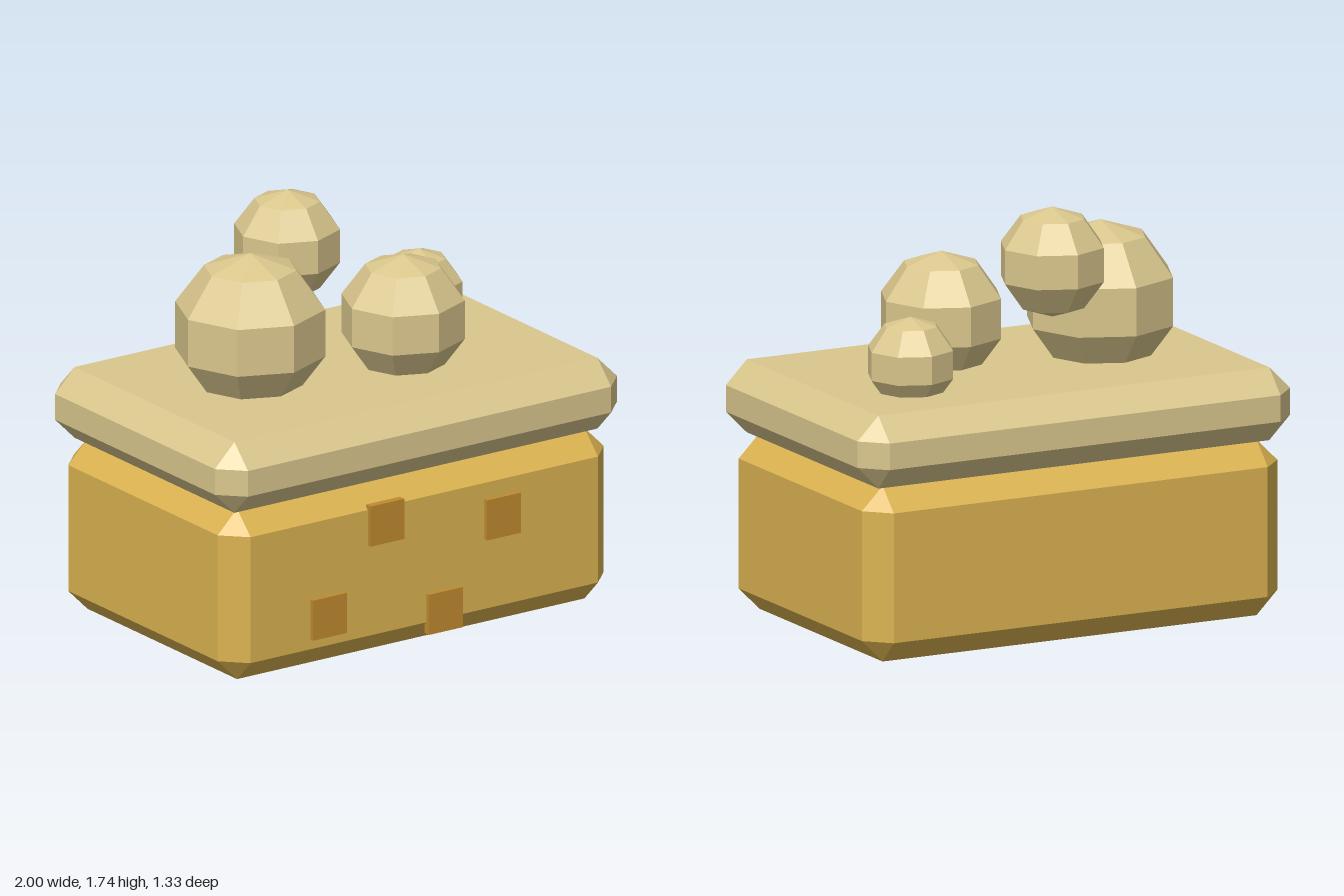
import * as THREE from 'three';
import { ConvexGeometry } from 'three/addons/geometries/ConvexGeometry.js';

function material(name, color) {
  const m = new THREE.MeshStandardMaterial({ color });
  m.name = name;
  return m;
}

// Box with every edge cut at 45 degrees and every corner cut to a triangle.
function chamferedBox(w, h, d, c) {
  const points = [];
  for (const sx of [-1, 1]) for (const sy of [-1, 1]) for (const sz of [-1, 1]) {
    for (let axis = 0; axis < 3; axis++) {
      const inset = [c, c, c];
      inset[axis] = 0;
      points.push(new THREE.Vector3(
        sx * (w / 2 - inset[0]), sy * (h / 2 - inset[1]), sz * (d / 2 - inset[2])));
    }
  }
  return new ConvexGeometry(points);
}

export function createModel() {
  const group = new THREE.Group();
  const golden = material('golden', 0xdab250);
  const cream = material('cream', 0xdac78d);
  const amber = material('amber', 0xc08b30);
  golden.flatShading = cream.flatShading = amber.flatShading = true;

  const add = (name, geometry, mat, x, y, z) => {
    const mesh = new THREE.Mesh(geometry, mat);
    mesh.name = name;
    mesh.position.set(x, y, z);
    group.add(mesh);
  };

  // Main block and overhanging top slab
  add('body', chamferedBox(1.92, 0.735, 1.25, 0.096), golden, 0, 0.3675, 0);
  add('topSlab', chamferedBox(2, 0.305, 1.325, 0.097), cream, 0, 0.8875, 0);

  // Square patches on the front
  const patch = new THREE.BoxGeometry(0.168, 0.173, 0.032);
  [[-0.197, 0.573], [0.383, 0.483], [-0.483, 0.225], [0.094, 0.134]].forEach(([x, y], i) =>
    add(`frontPatch${i + 1}`, patch, amber, x, y, 0.629));

  // Faceted balls on top: x, y, z, radius
  [
    [-0.425, 1.27, -0.002, 0.326],
    [-0.08, 1.505, -0.232, 0.23],
    [0.227, 1.237, 0.152, 0.268],
    [0.575, 1.158, -0.233, 0.19],
  ].forEach(([x, y, z, r], i) =>
    add(`ball${i + 1}`, new THREE.SphereGeometry(r, 8, 5), cream, x, y, z));

  return group;
}
